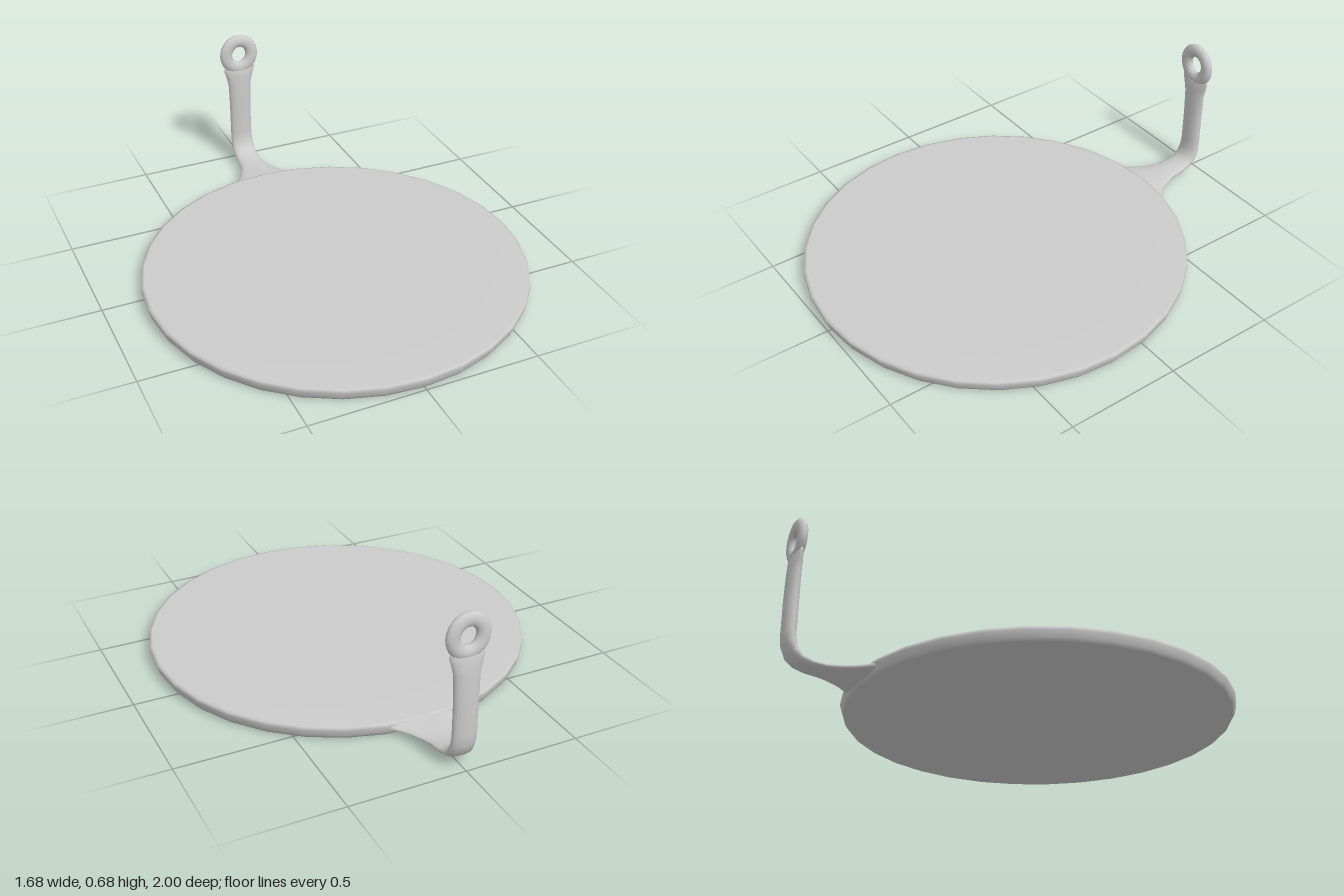
import * as THREE from 'three';

const material = new THREE.MeshStandardMaterial({ color: 0xcccccc });

// Smooth surface over a grid of points; columns wrap, rows wrap if closed, otherwise the ends are capped
function surface(name, rows, cols, closed, point) {
  const pos = [], index = [];
  for (let i = 0; i < rows; i++)
    for (let j = 0; j < cols; j++) pos.push(...point(i, (j / cols) * Math.PI * 2));
  const at = (i, j) => (i % rows) * cols + (j % cols);
  for (let i = 0; i < (closed ? rows : rows - 1); i++)
    for (let j = 0; j < cols; j++) {
      const a = at(i, j), b = at(i, j + 1), c = at(i + 1, j + 1), d = at(i + 1, j);
      index.push(a, b, c, a, c, d);
    }
  if (!closed)
    for (let j = 1; j < cols - 1; j++) {
      index.push(at(0, 0), at(0, j + 1), at(0, j));
      index.push(at(rows - 1, 0), at(rows - 1, j), at(rows - 1, j + 1));
    }
  const geometry = new THREE.BufferGeometry();
  geometry.setAttribute('position', new THREE.Float32BufferAttribute(pos, 3));
  geometry.setIndex(index);
  geometry.computeVertexNormals();
  const mesh = new THREE.Mesh(geometry, material);
  mesh.name = name;
  return mesh;
}

export function createModel() {
  const model = new THREE.Group();
  model.name = 'roundPlateWithHandle';

  // Flat round plate with a rim that flares slightly towards the top
  const profile = [[0, 0], [0.6, 0], [0.822, 0], [0.832, 0.015], [0.84, 0.042], [0.838, 0.056], [0.825, 0.06], [0.6, 0.06], [0, 0.06]];
  const plate = new THREE.Mesh(
    new THREE.LatheGeometry(profile.map(([r, y]) => new THREE.Vector2(r, y)), 32), material);
  plate.name = 'plate';
  plate.position.z = 0.16;
  model.add(plate);

  // Neck and upright stem: z, y, half width, half thickness, turn in degrees
  const sections = [
    [-0.58, 0.032, 0.22, 0.024, 0],
    [-0.665, 0.034, 0.155, 0.023, 0],
    [-0.7, 0.034, 0.125, 0.021, 0],
    [-0.735, 0.033, 0.1, 0.02, 0],
    [-0.78, 0.033, 0.077, 0.019, 0],
    [-0.825, 0.034, 0.061, 0.019, 0],
    [-0.88, 0.038, 0.057, 0.02, 8],
    [-0.925, 0.052, 0.055, 0.024, 30],
    [-0.952, 0.075, 0.055, 0.027, 55],
    [-0.968, 0.115, 0.054, 0.028, 78],
    [-0.972, 0.16, 0.053, 0.028, 90],
    [-0.972, 0.3, 0.053, 0.028, 90],
    [-0.97, 0.42, 0.057, 0.026, 90],
    [-0.968, 0.465, 0.068, 0.023, 90],
    [-0.967, 0.495, 0.077, 0.019, 90],
    [-0.967, 0.515, 0.074, 0.012, 90],
  ];
  model.add(surface('handleStem', sections.length, 20, false, (i, a) => {
    const [z, y, w, h, deg] = sections[i];
    const turn = THREE.MathUtils.degToRad(deg), s = h * Math.sin(a);
    return [w * Math.cos(a), y - s * Math.cos(turn), z - s * Math.sin(turn)];
  }));

  // Hanging eye: rounded ring with a slightly tall hole
  const steps = 24;
  model.add(surface('handleEye', steps, 14, true, (i, b) => {
    const a = (i / steps) * Math.PI * 2, k = (1 + Math.cos(b)) / 2;
    const rx = THREE.MathUtils.lerp(0.034, 0.095, k);
    const ry = THREE.MathUtils.lerp(0.039, 0.1, k);
    return [rx * Math.cos(a), 0.575 + ry * Math.sin(a), -0.967 - 0.02 * Math.sin(b)];
  }));

  return model;
}
